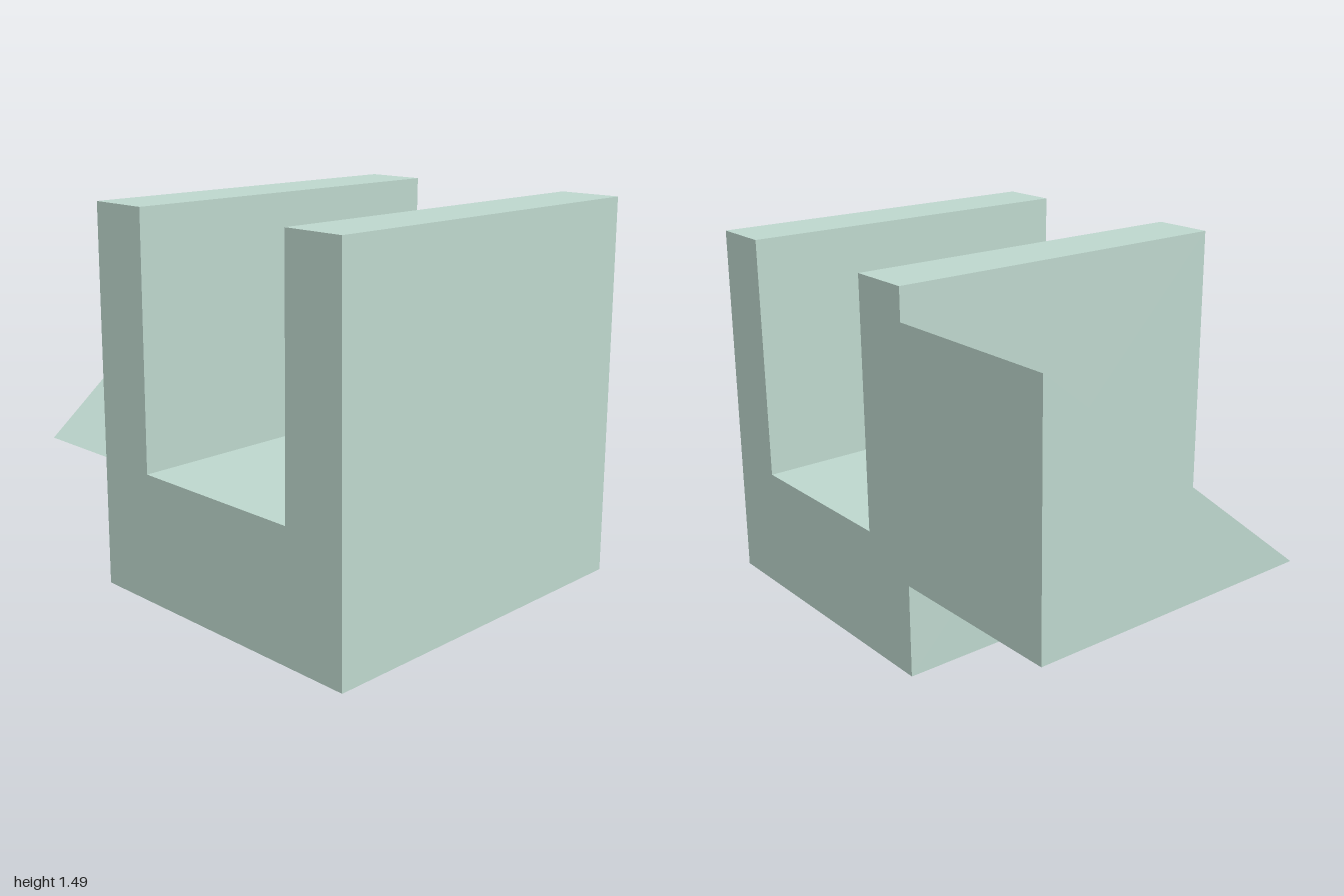
import * as THREE from 'three';

const material = new THREE.MeshStandardMaterial({ color: 0xbfd9cf, flatShading: true });

// Straight prism from a 2D outline, extruded along its local z
function prism(name, points, depth) {
  const shape = new THREE.Shape(points.map(([x, y]) => new THREE.Vector2(x, y)));
  const mesh = new THREE.Mesh(
    new THREE.ExtrudeGeometry(shape, { depth, bevelEnabled: false }), material);
  mesh.name = name;
  return mesh;
}

export function createModel() {
  const group = new THREE.Group();
  group.name = 'channelBlock';

  // U-shaped channel running front to back, its left outer wall slightly tapered
  const channel = prism('channel', [
    [-0.255, 0], [1, 0], [0.98, 1.49], [0.733, 1.49],
    [0.733, 0.505], [-0.003, 0.505], [-0.003, 1.49], [-0.255, 1.49],
  ], 1.49);
  channel.position.z = -0.745;
  group.add(channel);

  // Wedge on the right wall: outline drawn in (-z, y), turned to extrude along x
  const wedge = prism('sideWedge', [[-0.49, 0.375], [0.745, 0.375], [0.745, 1.365]], 0.745);
  wedge.rotation.y = Math.PI / 2;
  wedge.position.x = -1;
  group.add(wedge);

  return group;
}
